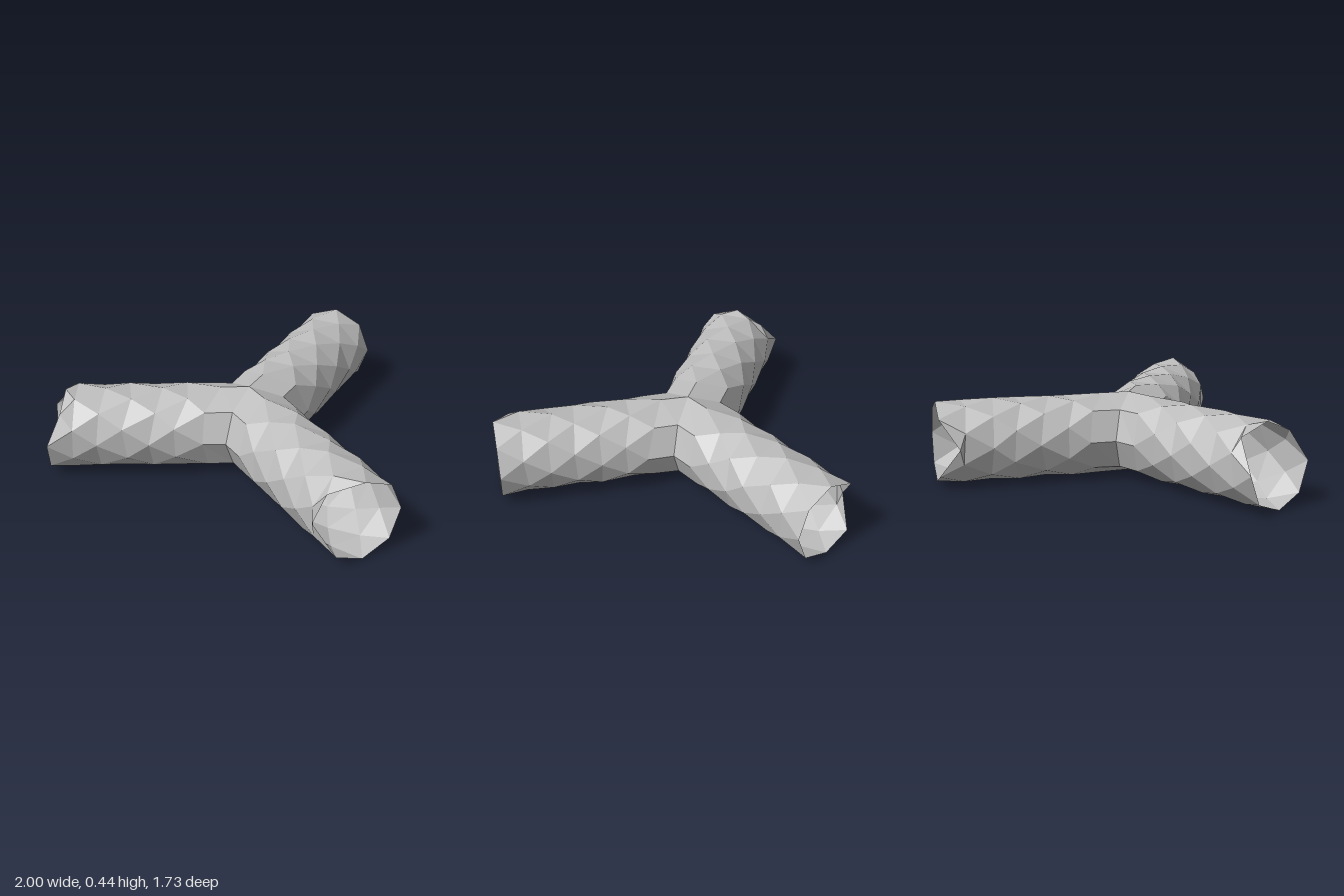
import * as THREE from 'three';

const SIDES = 8, RINGS = 7, RADIUS = 0.215, LENGTH = 1.03;
const HUB = new THREE.Vector3(0, RADIUS, 0.16);

// small repeatable wobble between -1 and 1
const wobble = n => {
  const v = Math.sin(n * 12.9898) * 43758.5453;
  return (v - Math.floor(v)) * 2 - 1;
};

// One open pipe arm. Its inner end is mitred to meet the other two arms;
// notches maps a corner of the open end to how far it is broken back.
function armGeometry(heading, notches, seed) {
  const forward = new THREE.Vector3(Math.sin(heading), 0, Math.cos(heading));
  const side = new THREE.Vector3(Math.cos(heading), 0, -Math.sin(heading));
  const positions = [], index = [];
  const stagger = j => (j === 0 ? 0 : (RINGS - j) % 2);

  // rings of corners, every other one turned by half a step
  for (let j = 0; j <= RINGS; j++) {
    for (let i = 0; i < SIDES; i++) {
      const angle = ((i + stagger(j) / 2) / SIDES) * Math.PI * 2;
      const n = seed + j * SIDES + i;
      const r = RADIUS + (j > 0 ? 0.004 * wobble(n) : 0);
      const u = r * Math.sin(angle);
      const seam = Math.abs(u) / Math.sqrt(3);
      let s = seam + (LENGTH - seam) * (j / RINGS);
      if (j > 0 && j < RINGS) s += 0.012 * wobble(n + 500);
      if (j === RINGS) s -= notches[i] || 0;
      const p = HUB.clone().addScaledVector(forward, s).addScaledVector(side, u);
      positions.push(p.x, p.y + r * Math.cos(angle), p.z);
    }
  }

  // triangles between neighbouring rings
  for (let j = 0; j < RINGS; j++) {
    for (let i = 0; i < SIDES; i++) {
      const k = (i + 1) % SIDES;
      const a = j * SIDES + i, a2 = j * SIDES + k;
      const b = a + SIDES, b2 = a2 + SIDES;
      if (stagger(j)) index.push(a, b, b2, a, b2, a2);
      else index.push(a, b, a2, a2, b, b2);
    }
  }

  const indexed = new THREE.BufferGeometry();
  indexed.setAttribute('position', new THREE.Float32BufferAttribute(positions, 3));
  indexed.setIndex(index);
  const geometry = indexed.toNonIndexed();
  geometry.computeVertexNormals();
  return geometry;
}

export function createModel() {
  const group = new THREE.Group();
  group.name = 'threeWayPipe';
  const grey = new THREE.MeshStandardMaterial({
    name: 'grey', color: 0xbdbdbd, flatShading: true, side: THREE.DoubleSide,
  });

  // three arms, 120 degrees apart, each with its own broken rim
  const arms = [
    ['backArm', Math.PI, { 2: 0.1 }],
    ['leftArm', Math.PI / 3, { 6: 0.11, 7: 0.09 }],
    ['rightArm', -Math.PI / 3, { 0: 0.09, 1: 0.07, 7: 0.12 }],
  ];
  arms.forEach(([name, heading, notches], i) => {
    const arm = new THREE.Mesh(armGeometry(heading, notches, i * 100 + 1), grey);
    arm.name = name;
    group.add(arm);
  });
  return group;
}
